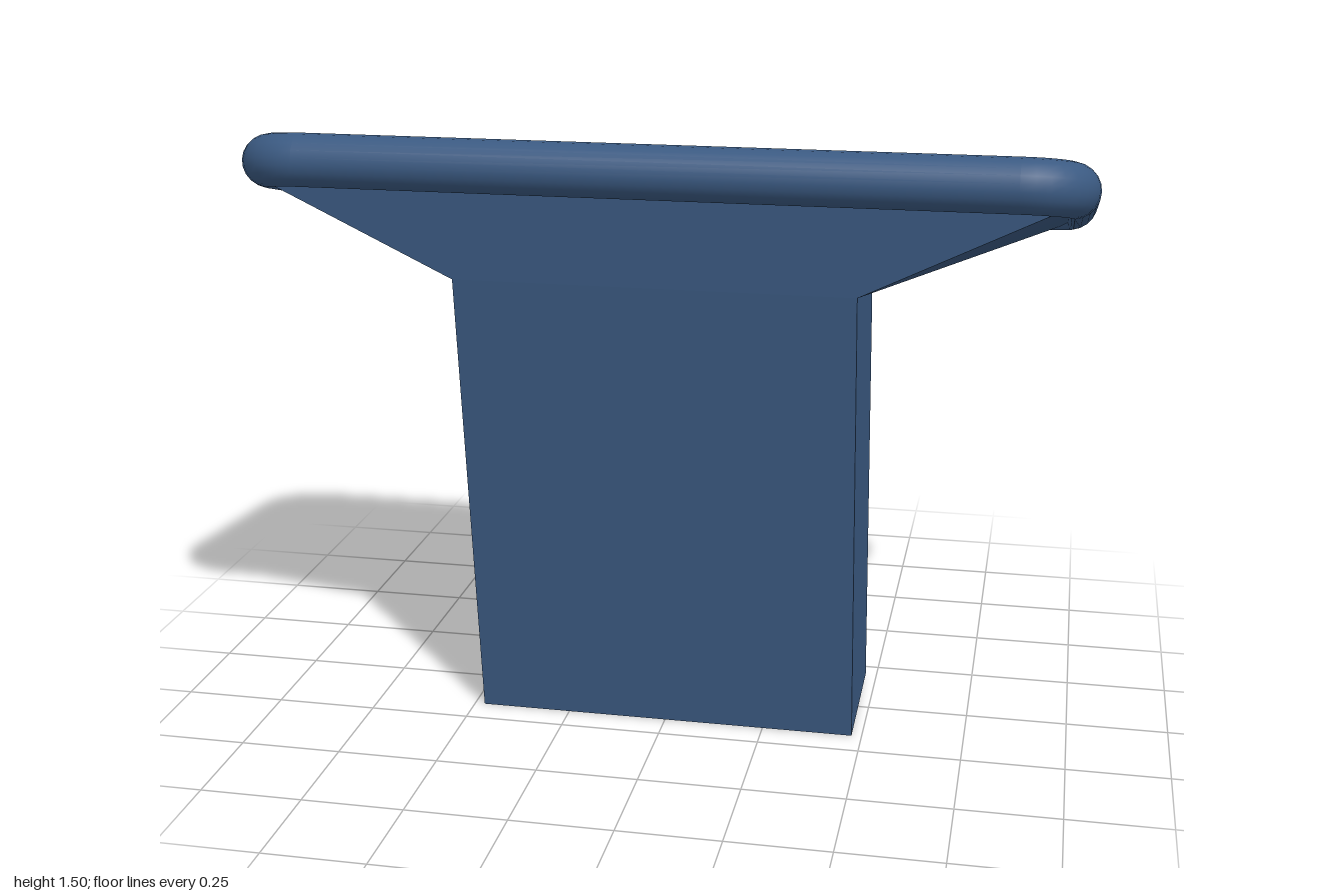
import * as THREE from 'three';
import { toCreasedNormals } from 'three/addons/utils/BufferGeometryUtils.js';

const material = new THREE.MeshStandardMaterial({ color: 0x3b5a82 });
const TILT = -THREE.MathUtils.degToRad(14.3);
const PANEL_Y = 1.345;
const R = 0.063; // half thickness of the panel
const DECK = 0.045; // height of the sunken deck above the panel's middle

// Skin a series of equal-length loops, optionally closing the first and last
function loft(loops, { capStart = false, capEnd = false, crease = 0.5 } = {}) {
  const pos = [];
  const tri = (...pts) => pts.forEach((p) => pos.push(p.x, p.y, p.z));
  for (let k = 0; k < loops.length - 1; k++) {
    const a = loops[k], b = loops[k + 1], n = a.length;
    for (let i = 0; i < n; i++) {
      const j = (i + 1) % n;
      tri(a[i], b[i], a[j]);
      tri(b[i], b[j], a[j]);
    }
  }
  const first = loops[0], last = loops[loops.length - 1];
  for (let i = 1; i < first.length - 1; i++) {
    if (capStart) tri(first[0], first[i], first[i + 1]);
    if (capEnd) tri(last[0], last[i + 1], last[i]);
  }
  const g = new THREE.BufferGeometry();
  g.setAttribute('position', new THREE.Float32BufferAttribute(pos, 3));
  return toCreasedNormals(g, crease);
}

// Rectangle spanning x0..x1, with its own height at front and back
const rect = (x0, x1, zf, yf, zb, yb) => [
  new THREE.Vector3(x1, yf, zf), new THREE.Vector3(x0, yf, zf),
  new THREE.Vector3(x0, yb, zb), new THREE.Vector3(x1, yb, zb),
];

// Panel outline moved inwards by `inset`, at height y
function outline(inset, y, segs = 8) {
  const r = 0.175 - inset, cx = 1 - 0.175, cz = 0.421 - 0.175, pts = [];
  for (let q = 0; q < 4; q++) {
    const sx = q === 0 || q === 3 ? 1 : -1, sz = q < 2 ? 1 : -1;
    for (let i = 0; i <= segs; i++) {
      const a = (q + i / segs) * Math.PI / 2;
      pts.push(new THREE.Vector3(sx * cx + r * Math.cos(a), y, sz * cz + r * Math.sin(a)));
    }
  }
  return pts;
}

function add(parent, name, geometry) {
  const mesh = new THREE.Mesh(geometry, material);
  mesh.name = name;
  parent.add(mesh);
  return mesh;
}

export function createModel() {
  const model = new THREE.Group();
  model.name = 'tiltedConsole';

  // Leaning block that carries the panel
  const shoulder = rect(-0.475, 0.475, 0.322, 1.16, -0.01, 1.225);
  add(model, 'pedestal', loft(
    [rect(-0.475, 0.475, 0.17, 0, -0.165, 0.018), shoulder], { capStart: true }));

  // Flare from the block out to the panel's underside
  const neck = rect(-0.93, 0.93, 0.342, -0.045, -0.342, -0.045).map((p) =>
    p.applyAxisAngle(new THREE.Vector3(1, 0, 0), TILT).add(new THREE.Vector3(0, PANEL_Y, 0)));
  add(model, 'flare', loft([shoulder, neck]));

  const panel = new THREE.Group();
  panel.name = 'panel';
  panel.position.y = PANEL_Y;
  panel.rotation.x = TILT;
  model.add(panel);

  // Rounded rim with a small lip above and below
  const profile = [[0.068, -DECK], [0.062, -0.058]];
  for (let i = 0; i <= 10; i++) {
    const a = (i / 10 - 0.5) * Math.PI * 0.92;
    profile.push([R - R * Math.cos(a), R * Math.sin(a)]);
  }
  profile.push([0.062, 0.058], [0.068, DECK]);
  add(panel, 'rim', loft(profile.map(([inset, y]) => outline(inset, y)), { capStart: true, crease: 0.6 }));

  // Sunken deck with an opening for the tray
  const shape = new THREE.Shape(outline(0.067, 0).map((p) => new THREE.Vector2(p.x, -p.z)));
  const mouth = rect(-0.83, -0.36, 0.084, DECK, -0.257, DECK);
  shape.holes.push(new THREE.Path(mouth.map((p) => new THREE.Vector2(p.x, -p.z))));
  const deck = add(panel, 'deck', new THREE.ShapeGeometry(shape));
  deck.rotation.x = -Math.PI / 2;
  deck.position.y = DECK;

  // Shallow tray with sloping walls
  const floor = rect(-0.803, -0.385, 0.062, 0.015, -0.235, 0.015);
  add(panel, 'tray', loft([mouth, floor], { capEnd: true, crease: 0.1 }));

  return model;
}
